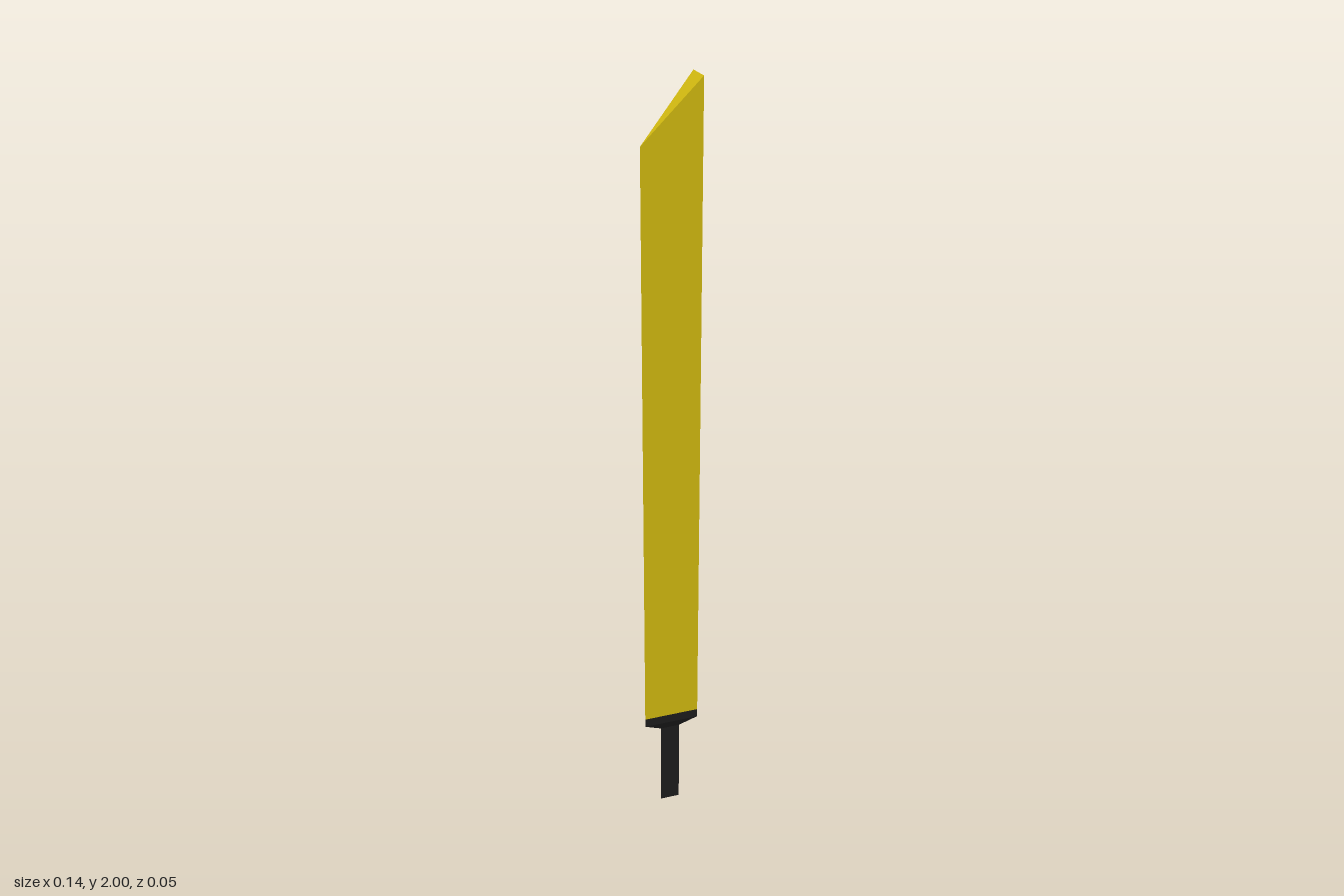
import * as THREE from 'three';

const HALF_WIDTH = 0.071, HALF_SPINE = 0.024;

// Closed wedge-shaped loft. Each ring: scale, height at the sharp edge, height at the spine.
function wedgeLoft(name, color, rings) {
  const corners = rings.map(([s, edgeY, spineY = edgeY]) => [
    [-HALF_WIDTH * s, edgeY, 0],
    [HALF_WIDTH * s, spineY, HALF_SPINE * s],
    [HALF_WIDTH * s, spineY, -HALF_SPINE * s],
  ]);
  const pos = [];
  const tri = (a, b, c) => pos.push(...a, ...b, ...c);
  for (let r = 0; r < corners.length - 1; r++) {
    const lo = corners[r], hi = corners[r + 1];
    for (let i = 0; i < 3; i++) {
      const j = (i + 1) % 3;
      tri(lo[i], lo[j], hi[j]);
      tri(lo[i], hi[j], hi[i]);
    }
  }
  const [a, b, c] = corners[0];
  tri(a, c, b);
  tri(...corners[corners.length - 1]);

  const geometry = new THREE.BufferGeometry();
  geometry.setAttribute('position', new THREE.Float32BufferAttribute(pos, 3));
  geometry.computeVertexNormals();
  const mesh = new THREE.Mesh(geometry, new THREE.MeshStandardMaterial({ color, flatShading: true }));
  mesh.name = name;
  return mesh;
}

export function createModel() {
  const group = new THREE.Group();
  group.name = 'sword';
  // Slim grip, flaring collar, and blade with a slanted tip
  group.add(wedgeLoft('handle', 0x1c1c1c, [[0.35, 0], [0.35, 0.245]]));
  group.add(wedgeLoft('collar', 0x1c1c1c, [[0.35, 0.245], [1, 0.268], [1, 0.292]]));
  group.add(wedgeLoft('blade', 0xd0b810, [[1, 0.292], [1, 1.858, 2]]));
  return group;
}
